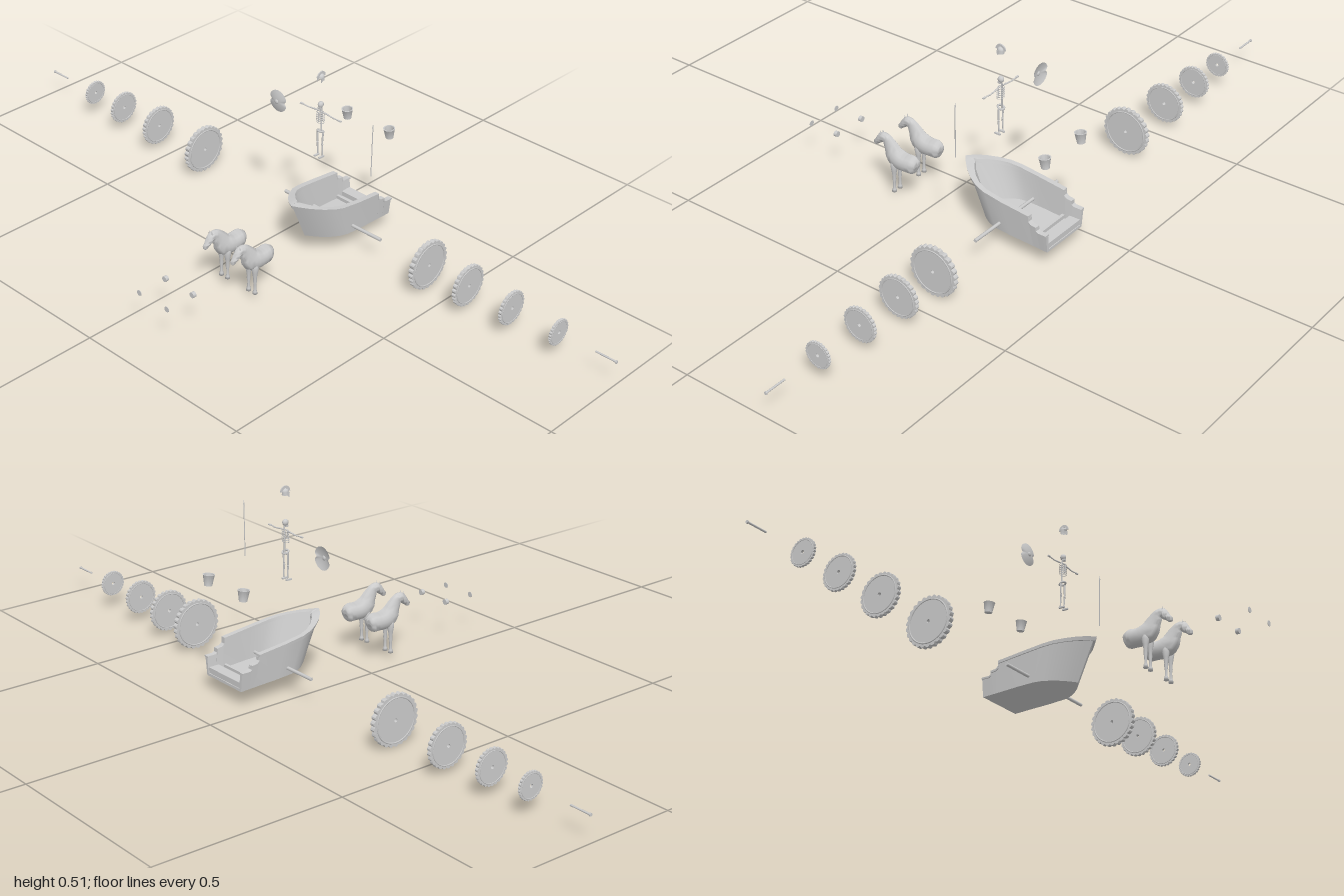
import * as THREE from 'three';
import { toCreasedNormals } from 'three/addons/utils/BufferGeometryUtils.js';

const mat = new THREE.MeshStandardMaterial({ color: 0xcccccc, side: THREE.DoubleSide });
const V = (x, y, z) => new THREE.Vector3(x, y, z);
const CX = 0.107;      // centre line of cart and driver
const AXLE_Y = 0.068, AXLE_Z = -0.24;

function add(parent, name, geo, x = 0, y = 0, z = 0) {
  const m = new THREE.Mesh(geo, mat);
  m.name = name;
  m.position.set(x, y, z);
  parent.add(m);
  return m;
}

function group(parent, name, x = 0, y = 0, z = 0) {
  const g = new THREE.Group();
  g.name = name;
  g.position.set(x, y, z);
  parent.add(g);
  return g;
}

// Closed skin over rings of equal point count, capped at both ends
function loft(rings, crease) {
  const n = rings[0].length, pos = [], idx = [];
  rings.forEach(r => r.forEach(p => pos.push(p.x, p.y, p.z)));
  for (let i = 0; i < rings.length - 1; i++) {
    for (let j = 0; j < n; j++) {
      const a = i * n + j, b = i * n + (j + 1) % n;
      idx.push(a, a + n, b, b, a + n, b + n);
    }
  }
  const e = (rings.length - 1) * n;
  for (let j = 1; j < n - 1; j++) idx.push(0, j, j + 1, e, e + j + 1, e + j);
  const g = new THREE.BufferGeometry();
  g.setAttribute('position', new THREE.Float32BufferAttribute(pos, 3));
  g.setIndex(idx);
  return toCreasedNormals(g, crease);
}

// Rod between two points
function rod(parent, name, a, b, r1, r2 = r1) {
  const d = b.clone().sub(a);
  const m = add(parent, name, new THREE.CylinderGeometry(r2, r1, d.length(), 8));
  m.position.copy(a).addScaledVector(d, 0.5);
  m.quaternion.setFromUnitVectors(V(0, 1, 0), d.normalize());
  return m;
}

// Hull stations from prow to stern: z, half width, rail height
const stations = [
  [-0.088, 0, 0.164], [-0.1, 0.016, 0.161], [-0.118, 0.036, 0.157], [-0.142, 0.055, 0.152],
  [-0.167, 0.069, 0.147], [-0.195, 0.076, 0.142], [-0.25, 0.078, 0.135], [-0.33, 0.077, 0.1265],
  [-0.3305, 0.077, 0.112], [-0.338, 0.077, 0.106], [-0.353, 0.077, 0.104], [-0.3535, 0.077, 0.094],
  [-0.36, 0.077, 0.091], [-0.382, 0.077, 0.091]
];
const bottomZ = z => -0.382 + (z + 0.382) * 0.833;
const bottomY = z => 0.0415 + (z + 0.382) * 0.043;

function hullPoint([z, w, top], side, inset, v) {
  const hw = Math.max(0, w - inset), zi = z - inset * 1.6 * (1 - w / 0.078);
  const zb = bottomZ(zi);
  return V(side * hw * (0.92 + 0.08 * v), THREE.MathUtils.lerp(bottomY(zb), top, v),
    THREE.MathUtils.lerp(zb, zi, v));
}

function hullBand(outer, inner, v0, v1) {
  const ring = (s, side) => [[inner, v0], [inner, v1], [outer, v1], [outer, v0]]
    .map(([i, v]) => hullPoint(s, side, i, v));
  const left = [...stations].reverse().map(s => ring(s, 1));
  const right = stations.slice(1).map(s => ring(s, -1));
  return loft([...left, ...right], 0.5);
}

function buildCart(root) {
  const cart = group(root, 'cart', CX);
  add(cart, 'hullWall', hullBand(0, 0.008, 0, 1));
  add(cart, 'hullRail', hullBand(-0.003, 0.011, 0.93, 1.02));
  // Floor follows the lower outline and its slope
  const half = stations.map(s => hullPoint(s, 1, 0, 0));
  const outline = [...half, ...half.slice(1).reverse().map(p => V(-p.x, p.y, p.z))];
  const floor = new THREE.ExtrudeGeometry(
    new THREE.Shape(outline.map(p => new THREE.Vector2(p.x, -p.z))), { depth: 0.007, bevelEnabled: false });
  floor.rotateX(-Math.PI / 2);
  const p = floor.attributes.position;
  for (let i = 0; i < p.count; i++) p.setY(i, p.getY(i) + bottomY(p.getZ(i)));
  floor.computeVertexNormals();
  add(cart, 'floor', floor);
  // Low step across the open stern
  add(cart, 'rearStep', new THREE.BoxGeometry(0.14, 0.02, 0.03), 0, 0.053, -0.365);
  add(cart, 'rearSill', new THREE.BoxGeometry(0.14, 0.012, 0.008), 0, 0.054, -0.332);
  rod(cart, 'axle', V(-0.167, AXLE_Y, AXLE_Z), V(0.168, AXLE_Y, AXLE_Z), 0.0045);
}

// Toothed solid disc lying across the axle
function buildWheel(root, x, r, width) {
  const wheel = group(root, 'wheelDisc', x, AXLE_Y, AXLE_Z);
  const shape = new THREE.Shape(), teeth = 26;
  const pts = [];
  for (let i = 0; i < teeth * 4; i++) {
    const a = i / (teeth * 4) * Math.PI * 2, k = [0.93, 0.99, 1, 0.97][i % 4] * r;
    pts.push(new THREE.Vector2(Math.cos(a) * k, Math.sin(a) * k));
  }
  shape.setFromPoints(pts);
  shape.holes.push(new THREE.Path().absarc(0, 0, 0.0048, 0, Math.PI * 2, true));
  const disc = new THREE.ExtrudeGeometry(shape, { depth: width * 0.8, bevelEnabled: false, curveSegments: 6 });
  disc.translate(0, 0, -width * 0.4).rotateY(Math.PI / 2);
  add(wheel, 'toothedDisc', disc);
  for (const s of [-1, 1]) {
    const band = new THREE.TorusGeometry(r * 0.84, width * 0.12, 6, 48).rotateY(Math.PI / 2);
    add(wheel, 'rimBand', band, s * width * 0.4);
  }
}

// Forequarters of a horse: one skin along back, neck and head
function buildHorse(root, x) {
  const horse = group(root, 'horse', x);
  const spine = [ // z, y, half depth, half width
    [0.0345, 0.108, 0.004, 0.004], [0.038, 0.109, 0.016, 0.014], [0.052, 0.109, 0.025, 0.021],
    [0.07, 0.108, 0.024, 0.022], [0.088, 0.109, 0.026, 0.022], [0.105, 0.116, 0.028, 0.02],
    [0.12, 0.139, 0.021, 0.013], [0.133, 0.154, 0.016, 0.0095], [0.144, 0.157, 0.013, 0.009],
    [0.154, 0.148, 0.011, 0.009], [0.163, 0.139, 0.008, 0.007], [0.169, 0.133, 0.007, 0.006],
    [0.172, 0.13, 0.003, 0.003]
  ];
  const path = new THREE.CatmullRomCurve3(spine.map(s => V(0, s[1], s[0])));
  const size = new THREE.CatmullRomCurve3(spine.map(s => V(s[2], s[3], 0)));
  const rings = [];
  for (let i = 0; i <= 36; i++) {
    const c = path.getPoint(i / 36), t = path.getTangent(i / 36), r = size.getPoint(i / 36);
    rings.push(Array.from({ length: 16 }, (_, j) => {
      const a = j / 16 * Math.PI * 2, k = Math.cos(a) * r.x;
      return V(Math.sin(a) * r.y, c.y + t.z * k, c.z - t.y * k);
    }));
  }
  add(horse, 'bodyNeckHead', loft(rings, 1.4));
  const leg = [[0, 0.017], [0.0065, 0.017], [0.0055, 0.024], [0.0035, 0.029], [0.0035, 0.045],
    [0.005, 0.054], [0.0045, 0.062], [0.007, 0.078], [0.0095, 0.092], [0.008, 0.105], [0, 0.11]];
  for (const s of [-1, 1]) {
    add(horse, 'frontLeg', new THREE.LatheGeometry(leg.map(p => new THREE.Vector2(...p)), 12), s * 0.011, 0, 0.102);
    const ear = add(horse, 'ear', new THREE.ConeGeometry(0.0025, 0.011, 6), s * 0.005, 0.169, 0.149);
    ear.rotation.x = 0.2;
  }
  // Loose harness pieces ahead of the horse
  add(root, 'harnessPlug', new THREE.CylinderGeometry(0.0075, 0.0075, 0.009, 20).rotateX(Math.PI / 2), x, 0.106, 0.302);
  add(root, 'harnessDisc', new THREE.CylinderGeometry(0.0075, 0.0075, 0.0012, 20).rotateX(Math.PI / 2), x, 0.106, 0.388);
}

function buildSkeleton(root) {
  const s = group(root, 'skeleton', CX, 0, -0.187);
  add(s, 'skull', new THREE.SphereGeometry(0.0085, 14, 10).scale(0.8, 1, 1), 0, 0.416, 0.001);
  add(s, 'jaw', new THREE.BoxGeometry(0.008, 0.005, 0.008), 0, 0.407, 0.004);
  rod(s, 'spine', V(0, 0.335, -0.003), V(0, 0.41, -0.002), 0.002);
  for (let i = 0; i < 6; i++) {
    const w = 0.009 + 0.0035 * Math.sin((i + 1) / 6 * Math.PI * 0.8);
    const rib = new THREE.TorusGeometry(1, 0.08, 5, 18).rotateX(Math.PI / 2).scale(w, 0.012, 0.0075);
    add(s, 'rib', rib, 0, 0.394 - i * 0.0055, 0.001);
  }
  rod(s, 'breastbone', V(0, 0.37, 0.008), V(0, 0.395, 0.008), 0.0015);
  add(s, 'pelvis', new THREE.TorusGeometry(0.008, 0.0028, 6, 16).rotateX(1.2), 0, 0.34, 0);
  for (const d of [-1, 1]) {
    const shoulder = V(d * 0.016, 0.396, 0), elbow = V(d * 0.04, 0.393, 0), wrist = V(d * 0.06, 0.394, 0.001);
    const hip = V(d * 0.009, 0.338, 0), knee = V(d * 0.008, 0.305, 0.001), ankle = V(d * 0.008, 0.272, -0.001);
    rod(s, 'collarbone', V(0, 0.397, 0.002), shoulder, 0.0015);
    rod(s, 'upperArm', shoulder, elbow, 0.0022, 0.0017);
    rod(s, 'forearm', elbow, wrist, 0.0019, 0.0015);
    add(s, 'hand', new THREE.BoxGeometry(0.01, 0.003, 0.005), d * 0.064, 0.394, 0.001);
    rod(s, 'thigh', hip, knee, 0.0026, 0.0019);
    rod(s, 'shin', knee, ankle, 0.0023, 0.0016);
    add(s, 'knee', new THREE.SphereGeometry(0.003, 8, 6), knee.x, knee.y, knee.z);
    add(s, 'foot', new THREE.BoxGeometry(0.005, 0.004, 0.017), d * 0.008, 0.269, 0.003);
  }
}

function buildGear(root) {
  // Crested helmet
  const helmet = group(root, 'helmet', CX, 0.494, -0.185);
  add(helmet, 'dome', new THREE.SphereGeometry(0.009, 18, 8, 0, Math.PI * 2, 0, Math.PI / 2).scale(0.9, 1, 1.05));
  const arc = new THREE.Shape();
  arc.absarc(0, 0, 0.0145, 0, Math.PI, false);
  arc.absarc(0, 0, 0.0085, Math.PI, 0, true);
  const crest = new THREE.ExtrudeGeometry(arc, { depth: 0.003, bevelEnabled: false });
  add(helmet, 'crest', crest.translate(0, 0, -0.0015).rotateY(Math.PI / 2), 0, 0.001, 0);
  add(helmet, 'neckGuard', new THREE.CylinderGeometry(0.0082, 0.0085, 0.008, 16, 1, true, Math.PI / 2, Math.PI), 0, -0.004, 0);
  for (const d of [-1, 1]) {
    const plate = new THREE.Shape([[-0.002, 0], [0.0085, 0], [0.007, -0.004], [0.0065, -0.013], [0, -0.008]]
      .map(p => new THREE.Vector2(...p)));
    add(helmet, 'cheekPlate', new THREE.ExtrudeGeometry(plate, { depth: 0.001, bevelEnabled: false })
      .rotateY(-Math.PI / 2), d * 0.007, 0, 0);
  }
  // Domed shield with a notch at each side
  const rings = [];
  for (let i = 0; i <= 8; i++) rings.push(i / 8);
  const shield = new THREE.LatheGeometry(rings.map(t => new THREE.Vector2(t * 0.03, 0.006 * (1 - t * t))), 48);
  shield.rotateX(Math.PI / 2);
  const p = shield.attributes.position;
  for (let i = 0; i < p.count; i++) {
    const r = Math.hypot(p.getX(i), p.getY(i)), a = Math.abs(p.getY(i)) / (r || 1);
    const k = 1 - 0.28 * Math.max(0, 1 - a / 0.3) * (r / 0.03);
    p.setXY(i, p.getX(i) * k, p.getY(i) * k);
  }
  shield.computeVertexNormals();
  add(root, 'shield', shield, -0.045, 0.364, -0.192);
  add(root, 'shieldBoss', new THREE.SphereGeometry(0.006, 16, 10).scale(1, 1, 0.5), -0.045, 0.364, -0.186);
  // Spear
  rod(root, 'spearShaft', V(0.28, 0.283, -0.185), V(0.28, 0.42, -0.185), 0.0012);
  add(root, 'spearHead', new THREE.ConeGeometry(0.002, 0.012, 6), 0.28, 0.425, -0.185);
  // Stern baskets
  const wall = [[0, 0], [0.01, 0], [0.0145, 0.026], [0.0155, 0.028], [0.0125, 0.028], [0.0085, 0.003], [0, 0.003]];
  for (const x of [0.034, 0.178]) {
    const b = add(root, 'basket', toCreasedNormals(
      new THREE.LatheGeometry(wall.map(q => new THREE.Vector2(...q)), 18), 0.6), x, 0.275, -0.371);
    b.rotation.x = 0.1;
  }
}

export function createModel() {
  const root = new THREE.Group();
  root.name = 'explodedChariot';
  buildCart(root);
  // Nested wheel layers, drawn apart along the axle
  const layers = [[-0.37, 0.43, 0.067, 0.016], [-0.553, 0.558, 0.056, 0.013],
    [-0.698, 0.692, 0.046, 0.01], [-0.82, 0.832, 0.035, 0.008]];
  for (const [xr, xl, r, w] of layers) for (const x of [xr, xl]) buildWheel(root, x, r, w);
  for (const d of [-1, 1]) {
    rod(root, 'axlePin', V(d * 0.94, AXLE_Y, AXLE_Z), V(d, AXLE_Y, AXLE_Z), 0.0025);
    rod(root, 'pinHead', V(d * 0.996, AXLE_Y, AXLE_Z), V(d, AXLE_Y, AXLE_Z), 0.004);
  }
  for (const x of [0.058, 0.154]) buildHorse(root, x);
  buildSkeleton(root);
  buildGear(root);
  return root;
}
